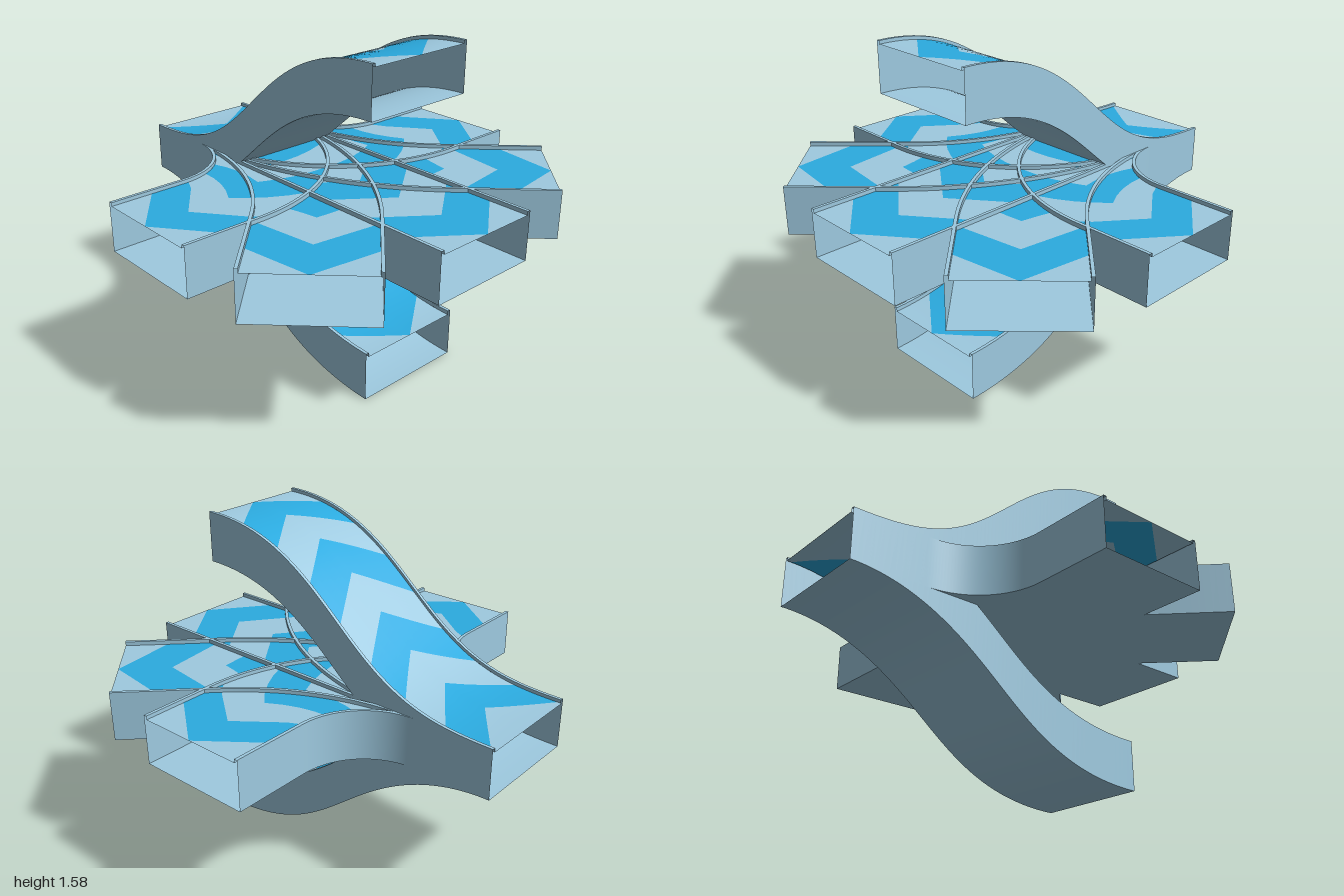
import * as THREE from 'three';

const HALF = 0.285, INNER = 0.269;                // outer and inner half width of a track
const BASE = 0.668, THICK = 0.242, FLOOR = 0.222; // deck underside, rail top, track floor
const V_DEPTH = 0.205;                            // how far each chevron sweeps back

const paleBlue = new THREE.MeshStandardMaterial({ color: 0x9ecae0, side: THREE.DoubleSide });
paleBlue.name = 'paleBlue';
const brightBlue = new THREE.MeshStandardMaterial({ color: 0x2babe0, side: THREE.DoubleSide });
brightBlue.name = 'brightBlue';

// Paths return [x, y, z, heading] at distance s; all start at the back edge.
const straightPath = () => ({ length: 2, at: s => [0, BASE, s - 1, 0] });

// S-shaped ramp: a Bezier with level ends, walked by arc length, sagging a little towards the back
const rampPath = rise => {
  const curve = new THREE.CubicBezierCurve3(
    new THREE.Vector3(0, BASE, -1), new THREE.Vector3(0, BASE, -0.2),
    new THREE.Vector3(0, BASE + rise, -0.2), new THREE.Vector3(0, BASE + rise, 0.6));
  const length = curve.getLength();
  return {
    length,
    at: s => {
      const p = curve.getPointAt(Math.min(s / length, 1));
      const t = (p.z + 1) / 1.6;
      return [0, p.y - 0.055 * (1 - t) * Math.sin(Math.PI * t) ** 2, p.z, 0];
    },
  };
};

// Straight lead-in, arc, straight run-out; side +1 turns to +x
const turnPath = (side, angle, lead, radius, runOut) => {
  const arc = radius * angle;
  return {
    length: lead + arc + runOut,
    at: s => {
      const a = Math.min(Math.max((s - lead) / radius, 0), angle);
      const extra = Math.max(s - lead - arc, 0);
      const x = radius * (1 - Math.cos(a)) + extra * Math.sin(a);
      const z = -1 + Math.min(s, lead) + radius * Math.sin(a) + extra * Math.cos(a);
      return [side * x, BASE, z, side * a];
    },
  };
};

// Point at distance s, offset u sideways and v upwards
function place(path, s, u, v) {
  const [x, y, z, h] = path.at(s);
  return [x + u * Math.cos(h), y + v, z - u * Math.sin(h)];
}

// Adds a grid of quads; point(i, j) runs along the path (i) and across it (j)
function addGrid(data, rows, cols, point) {
  const start = data.positions.length / 3;
  for (let i = 0; i <= rows; i++)
    for (let j = 0; j <= cols; j++) data.positions.push(...point(i / rows, j / cols));
  for (let i = 0; i < rows; i++)
    for (let j = 0; j < cols; j++) {
      const a = start + i * (cols + 1) + j, b = a + cols + 1;
      data.indices.push(a, b, b + 1, a, b + 1, a + 1);
    }
}

function toMesh(data, material, name) {
  const geometry = new THREE.BufferGeometry();
  geometry.setAttribute('position', new THREE.Float32BufferAttribute(data.positions, 3));
  geometry.setIndex(data.indices);
  geometry.computeVertexNormals();
  const mesh = new THREE.Mesh(geometry, material);
  mesh.name = name;
  return mesh;
}

const newData = () => ({ positions: [], indices: [] });

// One open-ended track: rails, walls and underside, plus a chevron floor
function makeTrack(name, path, lift) {
  const group = new THREE.Group();
  group.name = name;
  const L = path.length, floorY = FLOOR + lift;

  const profile = [
    [INNER, floorY], [INNER, THICK], [HALF, THICK], [HALF, 0],
    [-HALF, 0], [-HALF, THICK], [-INNER, THICK], [-INNER, floorY],
  ];
  const shell = newData();
  for (let k = 0; k < profile.length - 1; k++) {
    const [u0, v0] = profile[k], [u1, v1] = profile[k + 1];
    addGrid(shell, 64, 1, (i, j) =>
      place(path, i * L, u0 + (u1 - u0) * j, v0 + (v1 - v0) * j));
  }
  group.add(toMesh(shell, paleBlue, 'railsAndWalls'));

  // Floor is cut into alternating V-shaped bands, four of them bright
  const pale = newData(), bright = newData();
  const edge = (k, u) => {
    if (k > 8) return L;
    return Math.max(0, (k * L) / 8 - (V_DEPTH * Math.abs(u)) / INNER);
  };
  for (let k = 0; k <= 8; k++) {
    addGrid(k % 2 ? bright : pale, 10, 8, (i, j) => {
      const u = INNER * (2 * j - 1);
      const s = edge(k, u) + (edge(k + 1, u) - edge(k, u)) * i;
      return place(path, s, u, floorY);
    });
  }
  group.add(toMesh(pale, paleBlue, 'floor'), toMesh(bright, brightBlue, 'chevrons'));
  return group;
}

export function createModel() {
  const model = new THREE.Group();
  model.name = 'branchingTrack';

  model.add(makeTrack('straightTrack', straightPath(), 0.001));
  model.add(makeTrack('rampUp', rampPath(0.668), 0.004));
  model.add(makeTrack('rampDown', rampPath(-0.668), 0));

  // Mirrored turns; small floor lifts keep crossing floors apart
  for (const side of [1, -1]) {
    const label = side > 0 ? 'left' : 'right';
    const extra = side > 0 ? 0 : 0.0005;
    const sharp = turnPath(side, Math.PI / 2, 0.38, 0.62, 0.38);
    const gentle = turnPath(side, Math.PI / 4, 0.4, 1.449, 0.486);
    model.add(makeTrack(label + 'SharpTurn', sharp, 0.002 + extra));
    model.add(makeTrack(label + 'GentleTurn', gentle, extra));
  }
  return model;
}
